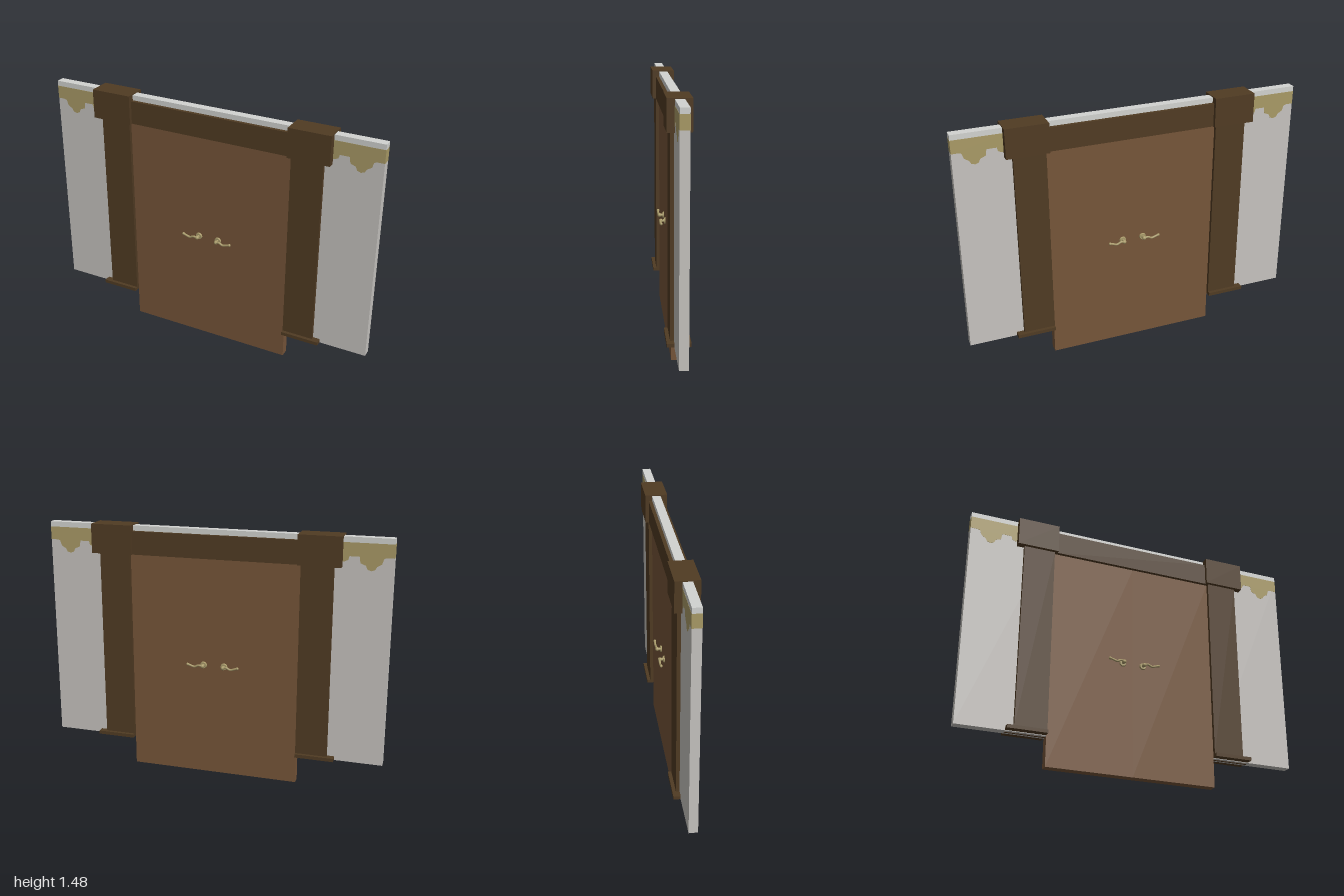
import * as THREE from 'three';

const mat = (name, color) => {
  const m = new THREE.MeshStandardMaterial({ color });
  m.name = name;
  return m;
};

export function createModel() {
  const group = new THREE.Group();
  const plaster = mat('plaster', 0xc6c3bf);
  const paleTrim = mat('pale trim', 0xd2d3d0);
  const ochre = mat('ochre paint', 0xa99a66);
  const darkWood = mat('dark wood', 0x503b23);
  const doorWood = mat('door wood', 0x765539);
  const brass = mat('brass', 0xa89a6a);

  const add = (name, geometry, material, parent = group) => {
    const mesh = new THREE.Mesh(geometry, material);
    mesh.name = name;
    parent.add(mesh);
    return mesh;
  };

  // Box given by its limits in x and y, and its half depth in z
  const slab = (name, x0, x1, y0, y1, halfZ, material, z = 0) => {
    const mesh = add(name, new THREE.BoxGeometry(Math.abs(x1 - x0), y1 - y0, halfZ * 2), material);
    mesh.position.set((x0 + x1) / 2, (y0 + y1) / 2, z);
    return mesh;
  };

  // Painted frieze with a hanging scallop, drawn for the +x side
  const friezePoints = [
    [0.70, 1.44], [0.70, 1.335], [0.735, 1.335], [0.755, 1.345], [0.76, 1.365],
    [0.815, 1.365], [0.82, 1.33], [0.85, 1.318], [0.86, 1.297], [0.88, 1.29],
    [0.90, 1.297], [0.91, 1.315], [0.935, 1.33], [0.945, 1.36], [0.96, 1.365],
    [1, 1.365], [1, 1.44],
  ];

  // Lever handle: rosette, neck and a wavy grip
  const makeHandle = () => {
    const handle = new THREE.Group();
    handle.name = 'handle';
    const rosette = add('rosette', new THREE.CylinderGeometry(0.018, 0.021, 0.01, 20), brass, handle);
    rosette.rotation.x = Math.PI / 2;
    rosette.position.z = 0.029;
    const neck = add('neck', new THREE.CylinderGeometry(0.008, 0.009, 0.026, 12), brass, handle);
    neck.rotation.x = Math.PI / 2;
    neck.position.z = 0.043;
    const knob = add('knob', new THREE.SphereGeometry(0.012, 14, 10), brass, handle);
    knob.position.z = 0.052;
    const path = new THREE.CatmullRomCurve3([
      [0, 0, 0.054], [0.022, 0.005, 0.056], [0.045, -0.005, 0.056],
      [0.07, 0.001, 0.056], [0.09, 0.008, 0.056],
    ].map((p) => new THREE.Vector3(...p)));
    add('grip', new THREE.TubeGeometry(path, 24, 0.0065, 8), brass, handle);
    const tip = add('gripTip', new THREE.SphereGeometry(0.0085, 12, 8), brass, handle);
    tip.position.set(0.088, 0.006, 0.055);
    return handle;
  };

  // Header wall above the door
  slab('headerWall', -0.5, 0.5, 1.305, 1.44, 0.025, plaster);
  slab('topTrim', -1, 1, 1.44, 1.47, 0.025, paleTrim);
  slab('lintel', -0.485, 0.485, 1.305, 1.44, 0.045, darkWood);

  for (const s of [-1, 1]) {
    // Side wall and its frieze, on both faces and round the end
    slab('wall', s * 0.5, s, 0.172, 1.44, 0.025, plaster);
    const shape = new THREE.Shape(friezePoints.map(([x, y]) => new THREE.Vector2(s * x, y)));
    for (const z of [0.025, -0.026]) {
      const frieze = add('frieze', new THREE.ExtrudeGeometry(shape, { depth: 0.001, bevelEnabled: false }), ochre);
      frieze.position.z = z;
    }
    slab('friezeEnd', s * 0.999, s * 1.0005, 1.365, 1.44, 0.0255, ochre);

    // Door leaf
    slab('doorLeaf', 0, s * 0.5, 0, 1.305, 0.0252, doorWood);

    // Pillar, plinth and capital
    slab('pillar', s * 0.5, s * 0.683, 0.195, 1.305, 0.045, darkWood);
    slab('plinth', s * 0.5, s * 0.725, 0.175, 0.195, 0.065, darkWood);
    slab('plinthRib', s * 0.5, s * 0.725, 0.17, 0.178, 0.007, darkWood);
    slab('capital', s * 0.483, s * 0.725, 1.305, 1.475, 0.065, darkWood);

    // Handles on both faces
    for (const face of [1, -1]) {
      const handle = makeHandle();
      handle.position.set(s * 0.062, 0.673, 0);
      if (face < 0) {
        handle.rotation.y = Math.PI;
      }
      // The grip always points away from the middle
      if (s * face < 0) {
        for (const part of handle.children) {
          if (part.name === 'grip') part.rotation.y = 0;
        }
        mirrorGrip(handle);
      }
      group.add(handle);
    }
  }
  return group;
}

// Turns a handle's grip to the opposite side, keeping faces outward
function mirrorGrip(handle) {
  for (const part of handle.children) {
    part.position.x *= -1;
    if (part.name === 'grip') part.scale.x = -1;
  }
}
